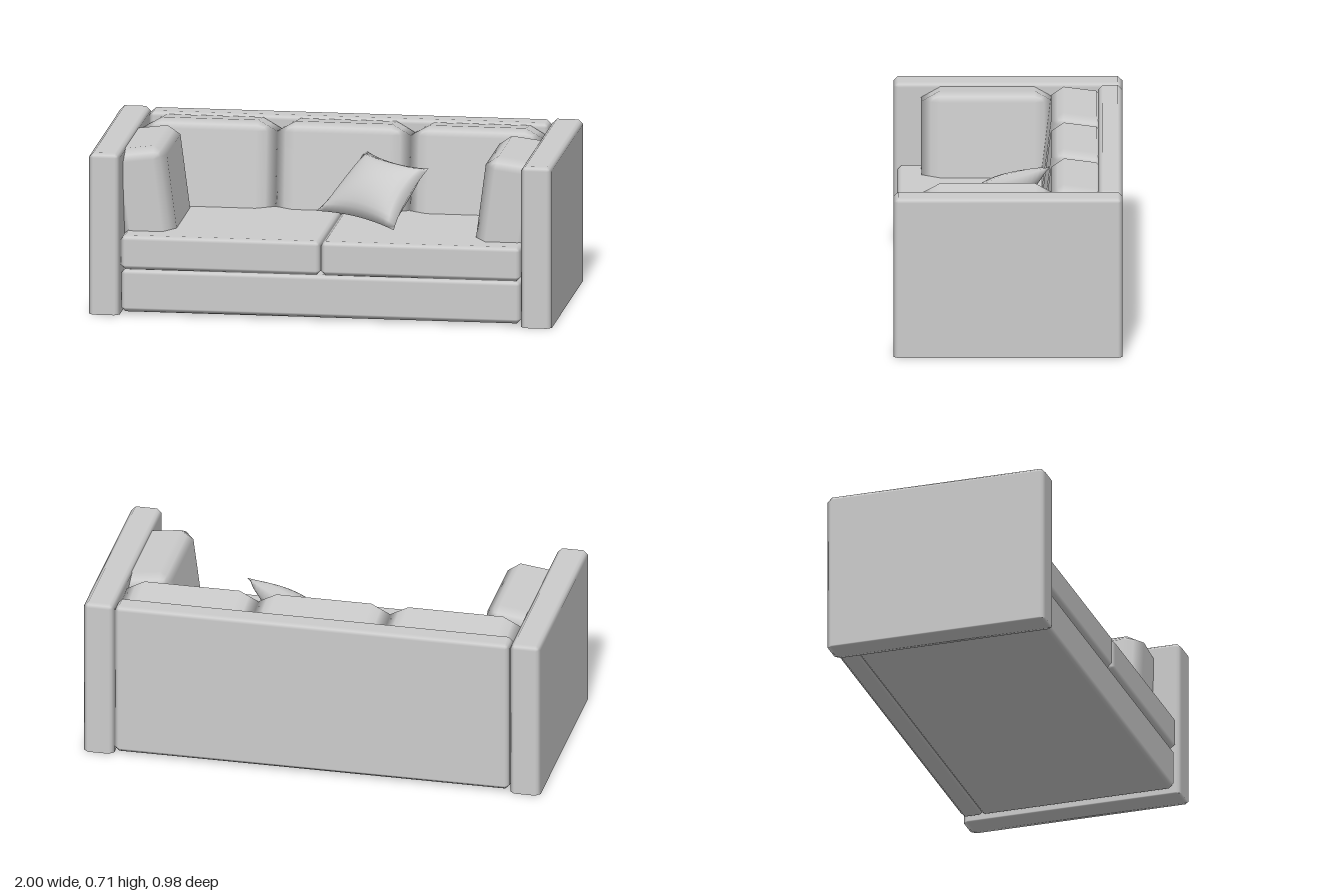
import * as THREE from 'three';
import { mergeVertices } from 'three/addons/utils/BufferGeometryUtils.js';
import { RoundedBoxGeometry } from 'three/addons/geometries/RoundedBoxGeometry.js';

const fabric = new THREE.MeshStandardMaterial({ color: 0xcccccc });

// Box with flat chamfers and soft normals; the chamfer may differ per axis
function chamferBox(w, h, d, cx, cy = cx, cz = cx) {
  const geo = new RoundedBoxGeometry(w / cx, h / cy, d / cz, 1, 1);
  const pos = geo.attributes.position, nor = geo.attributes.normal;
  const p = new THREE.Vector3(), n = new THREE.Vector3();
  for (let i = 0; i < pos.count; i++) {
    p.fromBufferAttribute(pos, i);
    n.fromBufferAttribute(nor, i);
    const sum = Math.abs(n.x) + Math.abs(n.y) + Math.abs(n.z);
    p.addScaledVector(n, 1 / sum - 1);
    pos.setXYZ(i, p.x, p.y, p.z);
  }
  return geo.scale(cx, cy, cz);
}

function addMesh(parent, name, geo, x = 0, y = 0, z = 0) {
  const mesh = new THREE.Mesh(geo, fabric);
  mesh.name = name;
  mesh.position.set(x, y, z);
  parent.add(mesh);
  return mesh;
}

// Arm: chamfered panel whose lower end is cut flat on the floor
function armGeometry() {
  const h = 0.74, top = 0.706;
  const geo = chamferBox(0.133, h, 0.98, 0.02).translate(0, top - h / 2, 0);
  const pos = geo.attributes.position;
  for (let i = 0; i < pos.count; i++) pos.setY(i, Math.max(0, pos.getY(i)));
  return geo;
}

// Leaning cushion with its lower front edge at the origin
function cushionGeometry(width) {
  const h = 0.42, d = 0.24;
  return chamferBox(width, h, d, 0.08, 0.045, 0.05).translate(0, h / 2, -d / 2);
}

// Throw pillow: a quad with pointed corners, pinched sides and a puffed middle
function pillowGeometry() {
  const a = new THREE.Vector3(-0.085, 0.375, 0.0);
  const b = new THREE.Vector3(0.1, 0.605, -0.185);
  const c = new THREE.Vector3(0.415, 0.6, 0.11);
  const d = new THREE.Vector3(0.29, 0.365, 0.285);
  const normal = d.clone().sub(a).cross(b.clone().sub(a)).normalize();
  const geo = new THREE.BoxGeometry(2, 2, 2, 14, 14, 1);
  geo.deleteAttribute('normal');
  geo.deleteAttribute('uv');
  const pos = geo.attributes.position;
  const low = new THREE.Vector3(), high = new THREE.Vector3();
  for (let i = 0; i < pos.count; i++) {
    const x = pos.getX(i), y = pos.getY(i);
    const bulgeX = Math.max(0, 1 - x * x), bulgeY = Math.max(0, 1 - y * y);
    const s = 0.5 + 0.5 * x * (1 - 0.1 * bulgeY);
    const t = 0.5 + 0.5 * y * (1 - 0.12 * bulgeX);
    low.lerpVectors(a, d, s);
    high.lerpVectors(b, c, s);
    low.lerp(high, t);
    low.addScaledVector(normal, pos.getZ(i) * 0.075 * Math.pow(bulgeX * bulgeY, 0.55));
    pos.setXYZ(i, low.x, low.y, low.z);
  }
  const merged = mergeVertices(geo, 1e-4);
  merged.computeVertexNormals();
  return merged;
}

export function createModel() {
  const sofa = new THREE.Group();
  sofa.name = 'sofa';

  // Frame
  addMesh(sofa, 'base', chamferBox(1.73, 0.187, 0.87, 0.02), 0, 0.1035, 0.032);
  addMesh(sofa, 'backPanel', chamferBox(1.73, 0.692, 0.105, 0.02), 0, 0.356, -0.4375);

  for (const side of [-1, 1]) {
    const label = side > 0 ? 'left' : 'right';
    addMesh(sofa, label + 'Arm', armGeometry(), side * 0.9335);

    // Seat cushions
    addMesh(sofa, label + 'SeatCushion', chamferBox(0.865, 0.15, 0.86, 0.02),
      side * 0.4325, 0.271, 0.045);

    // Side cushions leaning on the arms
    const cushion = addMesh(sofa, label + 'SideCushion', cushionGeometry(0.565),
      side * 0.64, 0.295, 0.088);
    cushion.rotation.set(-0.13, -side * Math.PI / 2, 0, 'YXZ');
  }

  // Back cushions leaning on the back panel
  for (const i of [-1, 0, 1]) {
    const cushion = addMesh(sofa, 'backCushion', cushionGeometry(0.576),
      i * 0.577, 0.302, -0.135);
    cushion.rotation.x = -0.13;
  }

  addMesh(sofa, 'throwPillow', pillowGeometry());
  return sofa;
}
